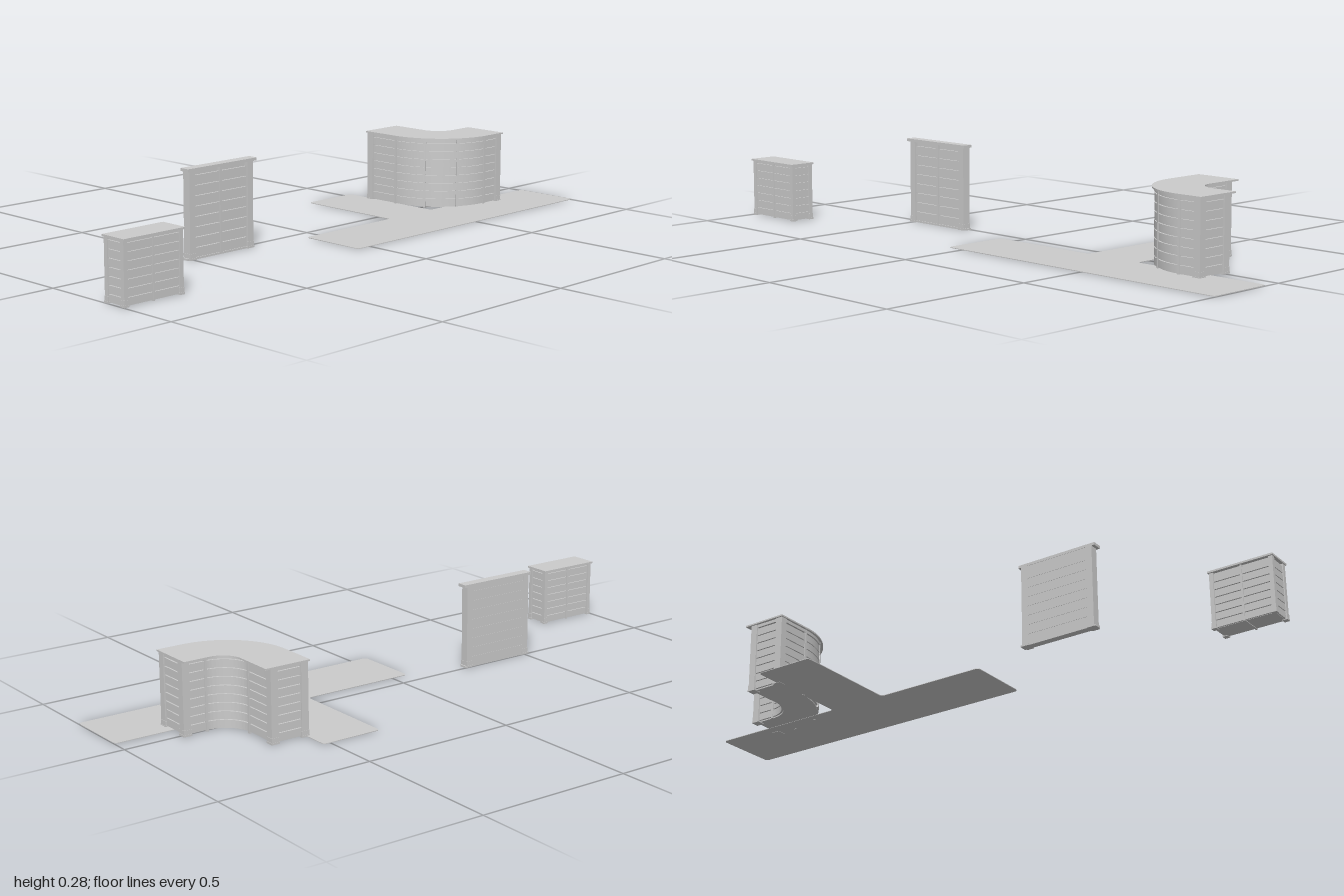
import * as THREE from 'three';
import { toCreasedNormals } from 'three/addons/utils/BufferGeometryUtils.js';

const material = new THREE.MeshStandardMaterial({ color: 0xcccccc });

function add(group, name, geometry) {
  const mesh = new THREE.Mesh(geometry, material);
  mesh.name = name;
  group.add(mesh);
  return mesh;
}

// Box given by its limits on each axis
function block(group, name, [x0, x1], [y0, y1], [z0, z1]) {
  const mesh = add(group, name, new THREE.BoxGeometry(x1 - x0, y1 - y0, z1 - z0));
  mesh.position.set((x0 + x1) / 2, (y0 + y1) / 2, (z0 + z1) / 2);
  return mesh;
}

// Plan shape (x, -z) raised from y0 to y1
function raise(group, name, shape, y0, y1) {
  const g = new THREE.ExtrudeGeometry(shape, { depth: y1 - y0, bevelEnabled: false, curveSegments: 16 });
  g.rotateX(-Math.PI / 2).translate(0, y0, 0);
  return add(group, name, toCreasedNormals(g, 0.5));
}

// Calls make(y0, y1) for evenly stacked planks with narrow gaps
function planks(count, bottom, top, make) {
  const step = (top - bottom) / count;
  for (let i = 0; i < count; i++) make(bottom + i * step + 0.003, bottom + (i + 1) * step);
}

// Corner post with a slightly wider foot
function post(group, x, z, sx, sz, height) {
  const e = 0.002;
  block(group, 'post', [x, x + sx], [0, height], [z, z + sz]);
  block(group, 'postFoot', [x - e, x + sx + e], [0, 0.006], [z - e, z + sz + e]);
  block(group, 'postPlinth', [x - e / 2, x + sx + e / 2], [0.006, 0.02], [z - e / 2, z + sz + e / 2]);
}

// Polygon with every corner rounded
function roundedPolygon(points, r) {
  const p = points.map(([x, z]) => new THREE.Vector2(x, -z));
  const shape = new THREE.Shape();
  p.forEach((c, i) => {
    const toward = q => c.clone().add(q.clone().sub(c).setLength(r));
    const a = toward(p[(i + p.length - 1) % p.length]);
    const b = toward(p[(i + 1) % p.length]);
    if (i) shape.lineTo(a.x, a.y); else shape.moveTo(a.x, a.y);
    shape.quadraticCurveTo(c.x, c.y, b.x, b.y);
  });
  shape.closePath();
  return shape;
}

// Quarter-turn counter plan: outer radius, inner radius, end limits
const CX = 0.73, CY = 0.1;
function counterPlan(outer, inner, endX, endY) {
  const s = new THREE.Shape();
  s.moveTo(CX - outer, endY);
  s.lineTo(CX - outer, CY);
  s.absarc(CX, CY, outer, Math.PI, 1.5 * Math.PI, false);
  s.lineTo(endX, CY - outer);
  s.lineTo(endX, CY - inner);
  s.lineTo(CX, CY - inner);
  s.absarc(CX, CY, inner, 1.5 * Math.PI, Math.PI, true);
  s.lineTo(CX - inner, endY);
  s.closePath();
  return s;
}

function createCounter() {
  const g = new THREE.Group();
  g.name = 'curvedCounter';
  const R = 0.214, r = 0.085, X = 0.811, E = 0.225, w = 0.024, h = 0.23;
  raise(g, 'counterTop', counterPlan(0.218, 0.065, 0.815, 0.23), h, 0.235);
  raise(g, 'counterCore', counterPlan(R - 0.01, r + 0.01, X - 0.01, E - 0.01), 0.002, h);
  planks(8, 0.003, 0.216, (y0, y1) =>
    raise(g, 'counterPlank', counterPlan(R - 0.004, r + 0.004, X - 0.004, E - 0.004), y0, y1));
  raise(g, 'counterRail', counterPlan(R - 0.003, r + 0.003, X - 0.003, E - 0.003), 0.22, h);
  // Posts at both ends
  for (const x of [CX - R, CX - r - w]) post(g, x, -E, w, w, h);
  for (const z of [R - CY - w, r - CY]) post(g, X - w, z, w, w, h);
  // Upright battens along the bend
  const batten = (radius, angle) => {
    const m = add(g, 'batten', new THREE.BoxGeometry(0.008, h, 0.006));
    m.position.set(CX - radius * Math.cos(angle), h / 2, -CY + radius * Math.sin(angle));
    m.rotation.y = angle + Math.PI / 2;
  };
  for (const k of [0, 1, 2, 3]) batten(R - 0.005, k * Math.PI / 6);
  for (const k of [0, 1]) batten(r + 0.005, k * Math.PI / 2);
  return g;
}

// Straight planked cabinet with corner posts and a cap
function createCabinet() {
  const g = new THREE.Group();
  g.name = 'cabinet';
  const x0 = -0.997, x1 = -0.785, z0 = 0.225, z1 = 0.307, h = 0.184, w = 0.0135;
  block(g, 'cabinetTop', [-1, -0.782], [h, 0.19], [0.22, 0.312]);
  block(g, 'cabinetCore', [x0 + 0.008, x1 - 0.008], [0.002, h], [z0 + 0.008, z1 - 0.008]);
  planks(7, 0, 0.176, (y0, y1) =>
    block(g, 'cabinetPlank', [x0 + 0.003, x1 - 0.003], [y0, y1], [z0 + 0.003, z1 - 0.003]));
  for (const x of [x0, x1 - w]) for (const z of [z0, z1 - w]) post(g, x, z, w, w, h);
  block(g, 'centreBatten', [-0.894, -0.888], [0, h], [z0 + 0.001, z1 - 0.001]);
  return g;
}

// Tall thin wall shelf, flat at the back
function createBackWall() {
  const g = new THREE.Group();
  g.name = 'backWall';
  const x0 = -0.513, x1 = -0.257, h = 0.268, w = 0.022;
  block(g, 'wallTop', [-0.523, -0.247], [h, 0.277], [0, 0.033]);
  block(g, 'wallCore', [x0 + 0.004, x1 - 0.004], [0.002, h], [0.001, 0.014]);
  planks(8, 0.003, 0.253, (y0, y1) =>
    block(g, 'wallPlank', [x0 + 0.003, x1 - 0.003], [y0, y1], [0, 0.021]));
  for (const x of [x0, x1 - w]) post(g, x, 0, w, 0.027, h);
  block(g, 'wallFoot', [-0.519, -0.251], [0, 0.006], [0, 0.024]);
  block(g, 'centreBatten', [-0.389, -0.381], [0, h], [0.01, 0.024]);
  return g;
}

export function createModel() {
  const model = new THREE.Group();
  model.name = 'counterSet';
  // T-shaped floor mat
  raise(model, 'floorMat', roundedPolygon([
    [-0.055, 0.275], [1, 0.275], [1, 0.055], [0.525, 0.055],
    [0.525, -0.312], [0.325, -0.312], [0.325, 0.055], [-0.055, 0.055],
  ], 0.014), 0.001, 0.003);
  model.add(createCounter(), createCabinet(), createBackWall());
  return model;
}
